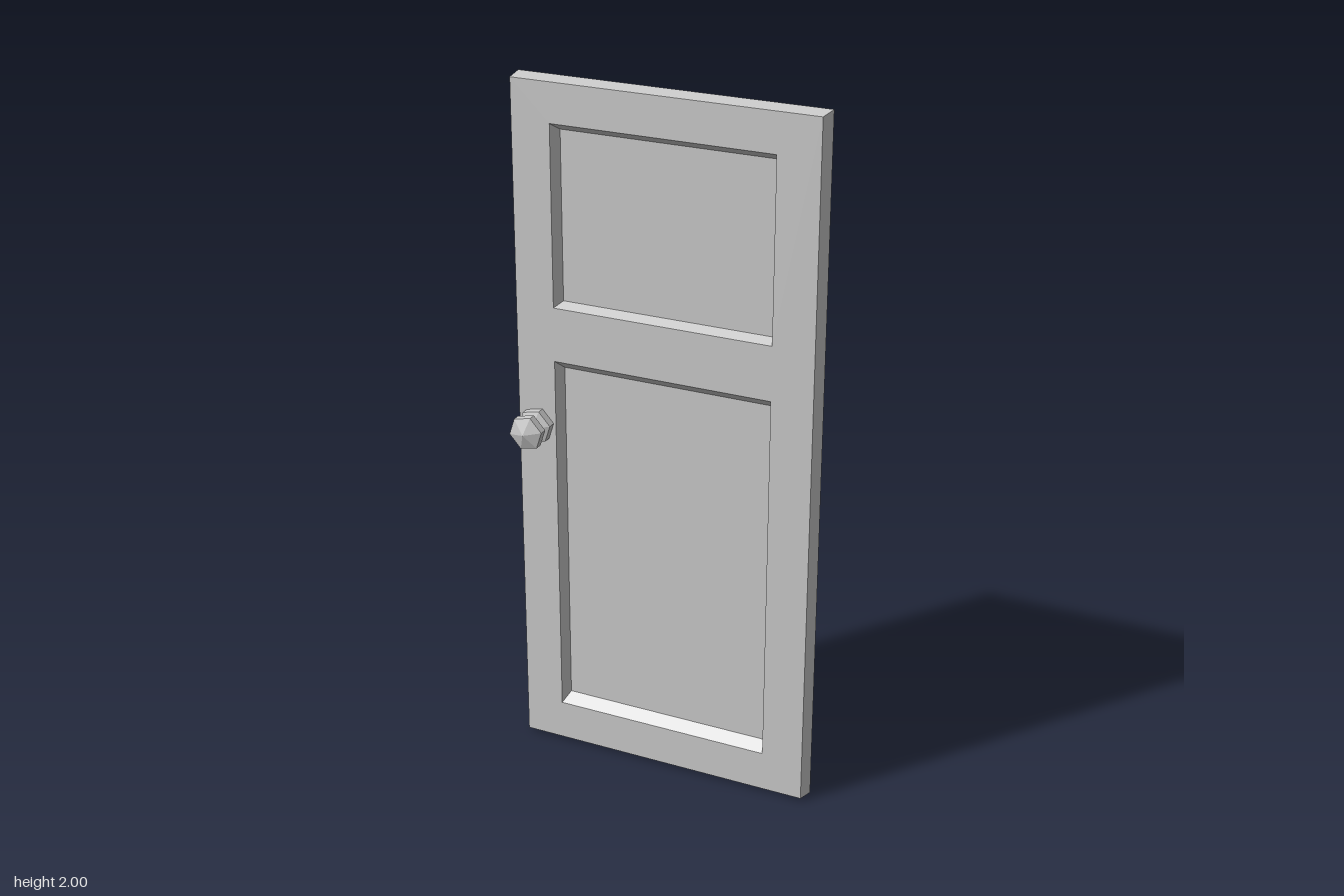
import * as THREE from 'three';

const material = new THREE.MeshStandardMaterial({ color: 0xcccccc, flatShading: true });

const BACK = -0.073, FRONT = -0.019, FLOOR = -0.05;

// Rectangle corners, counter-clockwise from lower left
const rect = (x0, x1, y0, y1) => [[x0, y0], [x1, y0], [x1, y1], [x0, y1]];

function add(parent, name, geometry) {
  const mesh = new THREE.Mesh(geometry, material);
  mesh.name = name;
  parent.add(mesh);
  return mesh;
}

// Four sloping walls joining rectangle a at depth za to rectangle b at depth zb
function walls(a, za, b, zb) {
  const positions = [];
  for (let i = 0; i < 4; i++) {
    const j = (i + 1) % 4;
    const a0 = [...a[i], za], a1 = [...a[j], za], b0 = [...b[i], zb], b1 = [...b[j], zb];
    positions.push(...a0, ...a1, ...b1, ...a0, ...b1, ...b0);
  }
  const geometry = new THREE.BufferGeometry();
  geometry.setAttribute('position', new THREE.Float32BufferAttribute(positions, 3));
  geometry.computeVertexNormals();
  return geometry;
}

// Flat face facing +z, with optional rectangular holes
function face(outline, z, holes = []) {
  const points = (r) => r.map(([x, y]) => new THREE.Vector2(x, y));
  const shape = new THREE.Shape(points(outline));
  for (const hole of holes) shape.holes.push(new THREE.Path(points(hole)));
  return new THREE.ShapeGeometry(shape).translate(0, 0, z);
}

export function createModel() {
  const model = new THREE.Group();
  model.name = 'door';

  // Door slab, slightly narrower at the front
  const backEdge = rect(-0.443, 0.443, 0, 2);
  const frontEdge = rect(-0.439, 0.435, 0.01, 1.994);
  const panels = [
    { name: 'upperPanel', rim: rect(-0.325, 0.315, 1.37, 1.883), floor: rect(-0.31, 0.307, 1.383, 1.862) },
    { name: 'lowerPanel', rim: rect(-0.325, 0.315, 0.127, 1.214), floor: rect(-0.31, 0.307, 0.154, 1.188) },
  ];
  add(model, 'slabEdges', walls(backEdge, BACK, frontEdge, FRONT));
  add(model, 'slabBack', face(backEdge, 0).rotateY(Math.PI).translate(0, 0, BACK));
  add(model, 'slabFront', face(frontEdge, FRONT, panels.map((p) => p.rim)));

  // Recessed panels with sloping borders
  for (const { name, rim, floor } of panels) {
    const panel = new THREE.Group();
    panel.name = name;
    add(panel, name + 'Border', walls(rim, FRONT, floor, FLOOR));
    add(panel, name + 'Floor', face(floor, FLOOR));
    model.add(panel);
  }

  // Six-sided knob: base plate, neck and pointed grip
  const profile = [
    [0.051, FRONT], [0.051, 0.004], [0.028, 0.011], [0.028, 0.025],
    [0.051, 0.031], [0.051, 0.054], [0, 0.071],
  ].map(([r, z]) => new THREE.Vector2(r, z));
  const knob = add(model, 'knob', new THREE.LatheGeometry(profile, 6, THREE.MathUtils.degToRad(42)));
  knob.rotation.x = Math.PI / 2;
  knob.position.set(-0.382, 1.016, 0);

  return model;
}
